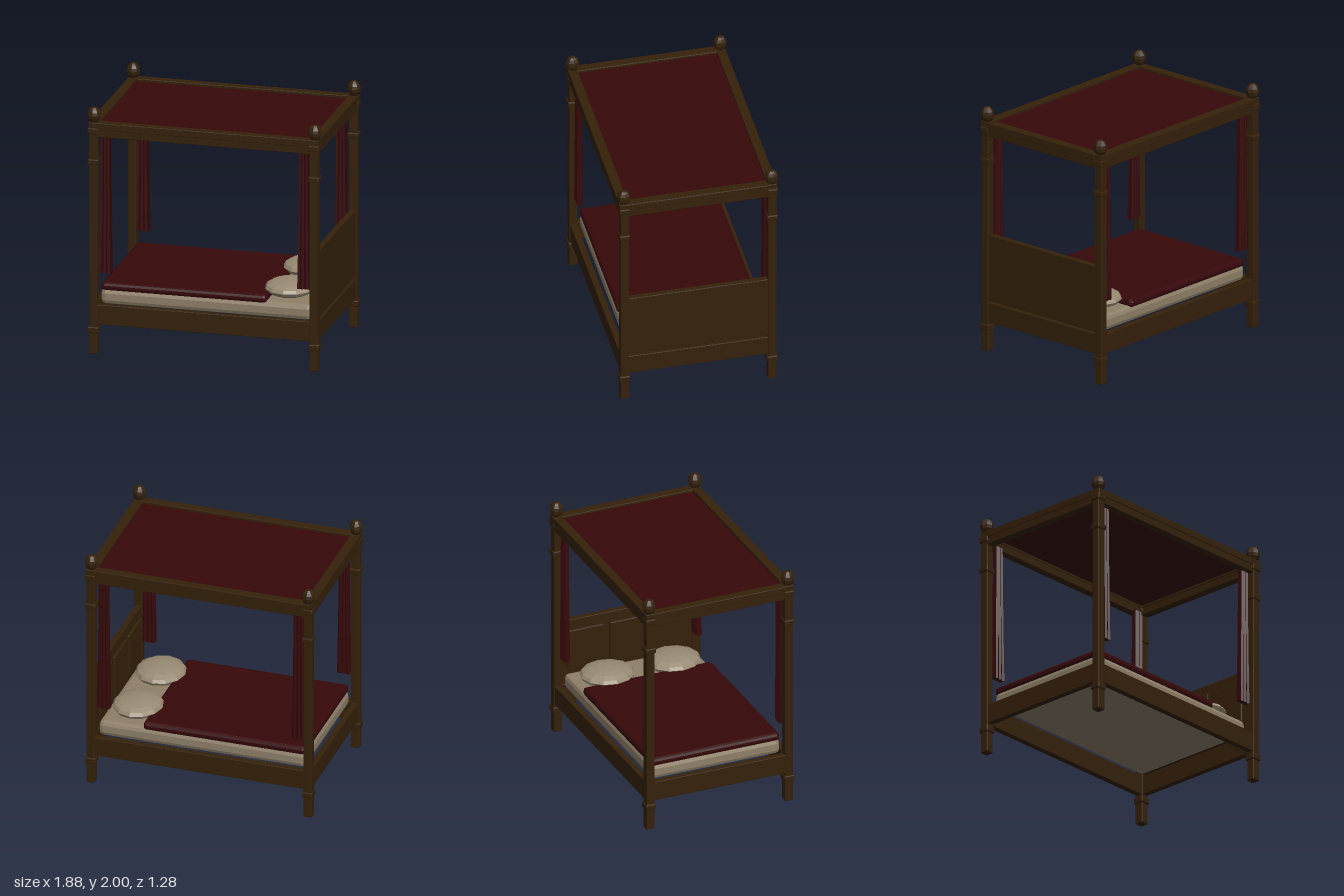
import * as THREE from 'three';
import { RoundedBoxGeometry } from 'three/addons/geometries/RoundedBoxGeometry.js';

export function createModel() {
  const bed = new THREE.Group();
  bed.name = 'canopyBed';

  const mat = (name, color, extra = {}) => {
    const m = new THREE.MeshStandardMaterial({ color, flatShading: true, ...extra });
    m.name = name;
    return m;
  };
  const wood = mat('darkWood', 0x35210b);
  const fabric = mat('redFabric', 0x37080a, { side: THREE.DoubleSide });
  const linen = mat('mattressLinen', 0x8f8069);
  const pillowLinen = mat('pillowLinen', 0x988a73);

  const add = (name, geometry, material, x = 0, y = 0, z = 0, parent = bed) => {
    const mesh = new THREE.Mesh(geometry, material);
    mesh.name = name;
    mesh.position.set(x, y, z);
    parent.add(mesh);
    return mesh;
  };
  // Box given by its lowest and highest corners, with a small bevel
  const block = (name, material, [x0, y0, z0], [x1, y1, z1], bevel = 0.004, parent = bed) =>
    add(name, new RoundedBoxGeometry(x1 - x0, y1 - y0, z1 - z0, 1, bevel), material,
      (x0 + x1) / 2, (y0 + y1) / 2, (z0 + z1) / 2, parent);

  // Softly pleated curtain: closed wavy cross-sections, widening towards the hem
  const curtainGeometry = () => {
    const rows = [[1.78, 0.038, 0.02], [1.4, 0.041, 0.021], [1.08, 0.045, 0.022], [0.65, 0.053, 0.024]];
    const folds = 13;
    const ring = folds * 2;
    const pos = [];
    const index = [];
    for (const [y, halfWidth, depth] of rows) {
      for (let i = 0; i < ring; i++) {
        const front = i < folds;
        const t = (front ? i : ring - 1 - i) / (folds - 1);
        const wave = Math.cos(t * Math.PI * 6) * 0.2;
        pos.push((t * 2 - 1) * halfWidth, y, depth * (front ? 0.8 + wave : -0.8 + wave));
      }
    }
    for (let r = 0; r < rows.length - 1; r++) {
      for (let i = 0; i < ring; i++) {
        const a = r * ring + i, b = r * ring + (i + 1) % ring;
        index.push(a, b, a + ring, b, b + ring, a + ring);
      }
    }
    // Close the hem
    const base = (rows.length - 1) * ring;
    for (let i = 0; i < folds - 1; i++) {
      const a = base + i, b = base + ring - 1 - i;
      index.push(a, a + 1, b, a + 1, b - 1, b);
    }
    // The rows run downwards, so reverse the corners to face outwards
    index.reverse();
    const g = new THREE.BufferGeometry();
    g.setAttribute('position', new THREE.Float32BufferAttribute(pos, 3));
    g.setIndex(index);
    g.computeVertexNormals();
    return g;
  };
  const curtain = curtainGeometry();

  // Four corners: post, collars, finial and curtain
  const px = 0.885, pz = 0.587;
  for (const sx of [-1, 1]) {
    for (const sz of [-1, 1]) {
      const post = new THREE.Group();
      post.name = 'cornerPost';
      post.position.set(sx * px, 0, sz * pz);
      bed.add(post);
      block('postShaft', wood, [-0.034, 0, -0.034], [0.034, 1.88, 0.034], 0.006, post);
      for (const [y, h] of [[0.196, 0.05], [1.56, 0.046], [1.812, 0.05]]) {
        block('postCollar', wood, [-0.043, y - h / 2, -0.043], [0.043, y + h / 2, 0.043], 0.008, post);
      }
      const finial = add('finial', new THREE.SphereGeometry(0.054, 8, 8), wood, 0, 1.934, 0, post);
      finial.scale.y = 0.066 / 0.054;
      add('curtain', curtain, fabric, sx * 0.795, 0, sz * 0.558);
    }
  }

  // Canopy frame and bed frame rails
  for (const s of [-1, 1]) {
    const along = (name, y0, y1, x, zIn, zOut) =>
      block(name, wood, [-x, y0, Math.min(s * zIn, s * zOut)], [x, y1, Math.max(s * zIn, s * zOut)]);
    const across = (name, y0, y1, z, xIn, xOut) =>
      block(name, wood, [Math.min(s * xIn, s * xOut), y0, -z], [Math.max(s * xIn, s * xOut), y1, z]);
    along('canopyLongRail', 1.765, 1.828, 0.86, 0.556, 0.62);
    across('canopyEndRail', 1.765, 1.828, 0.56, 0.852, 0.918);
    along('canopyLongCornice', 1.824, 1.88, 0.92, 0.553, 0.626);
    across('canopyEndCornice', 1.824, 1.879, 0.56, 0.847, 0.922);
    along('bedSideRail', 0.24, 0.4, 0.86, 0.562, 0.612);
    across('bedEndRail', 0.24, 0.4, 0.56, 0.862, 0.91);
  }

  // Canopy cloth
  block('canopyCloth', fabric, [-0.85, 1.845, -0.556], [0.85, 1.86, 0.556]);

  // Headboard with three raised panels on the inner face
  block('headboard', wood, [0.858, 0.415, -0.556], [0.905, 0.955, 0.556]);
  for (const z of [-0.355, 0, 0.355]) {
    block('headboardPanel', wood, [0.838, 0.52, z - 0.15], [0.865, 0.87, z + 0.15], 0.008);
  }

  // Bedding
  block('mattress', linen, [-0.845, 0.385, -0.545], [0.845, 0.51, 0.545], 0.035);
  block('blanket', fabric, [-0.84, 0.495, -0.545], [0.482, 0.562, 0.545], 0.025);
  for (const z of [-0.28, 0.28]) {
    const pillow = add('pillow', new THREE.SphereGeometry(1, 12, 8), pillowLinen, 0.607, 0.567, z);
    pillow.scale.set(0.199, 0.066, 0.22);
  }
  return bed;
}
